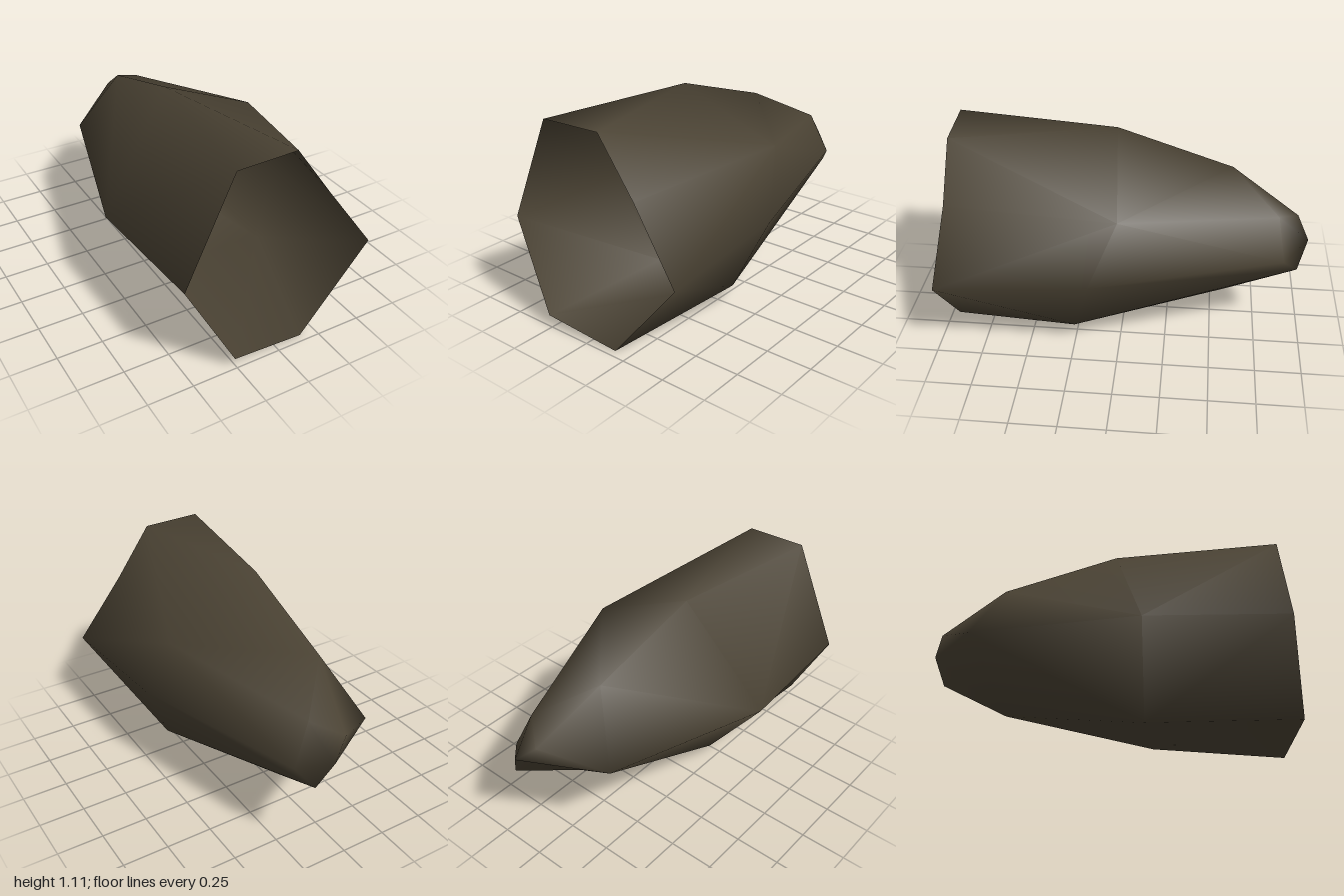
import * as THREE from 'three';
import { mergeVertices } from 'three/addons/utils/BufferGeometryUtils.js';

// Cross-sections from the open rim to the closed tip, each listed clockwise seen from the front.
// A repeated point lets neighbouring sides meet in one corner.
const rim = [[0.08, 1.11, 0.93], [0.29, 0.82, 0.93], [0.55, 0.465, 0.96], [0.16, 0, 0.96],
  [-0.265, 0.065, 1], [-0.52, 0.535, 0.945], [-0.26, 1.11, 0.945]];
const belly = [[-0.13, 1.11, 0.05], [0.43, 0.86, 0], [0.51, 0.5, 0.15], [0.35, 0.12, 0.25],
  [-0.22, 0.07, 0.19], [-0.555, 0.515, 0.18], [-0.13, 1.11, 0.05]];
const shoulder = [[-0.1, 0.915, -0.58], [0.14, 0.76, -0.83], [0.24, 0.54, -0.87], [0.17, 0.45, -0.95],
  [0.09, 0.23, -0.57], [-0.295, 0.56, -0.74], [-0.1, 0.915, -0.58]];
const tip = [0.1, 0.6, -1];
const ridge = [0, 0.69, -0.945];
const end = [ridge, tip, tip, tip, tip, ridge, ridge];

// Joins two cross-sections; '/' or '\' sets which way each side is split.
function joinRings(a, b, splits, out) {
  const same = (p, q) => p.every((v, k) => v === q[k]);
  const tri = (p, q, r) => {
    if (!same(p, q) && !same(q, r) && !same(p, r)) out.push(...p, ...q, ...r);
  };
  for (let i = 0; i < a.length; i++) {
    const j = (i + 1) % a.length;
    if (splits[i] === '/') {
      tri(a[i], a[j], b[j]);
      tri(a[i], b[j], b[i]);
    } else {
      tri(a[i], a[j], b[i]);
      tri(a[j], b[j], b[i]);
    }
  }
}

export function createModel() {
  const darkOlive = new THREE.MeshStandardMaterial({ color: 0x4a4233, side: THREE.DoubleSide });
  darkOlive.name = 'darkOlive';

  const positions = [];
  joinRings(rim, belly, ['/', '\\', '/', '\\', '\\', '\\', '/'], positions);
  joinRings(belly, shoulder, ['\\', '/', '/', '/', '/', '/', '/'], positions);
  joinRings(shoulder, end, ['\\', '/', '/', '/', '\\', '/', '/'], positions);

  // Shared corners give the shell its smooth shading.
  const faces = new THREE.BufferGeometry();
  faces.setAttribute('position', new THREE.Float32BufferAttribute(positions, 3));
  const geometry = mergeVertices(faces);
  geometry.computeVertexNormals();

  const shell = new THREE.Mesh(geometry, darkOlive);
  shell.name = 'hollowShell';

  const group = new THREE.Group();
  group.name = 'taperedShell';
  group.add(shell);
  return group;
}
